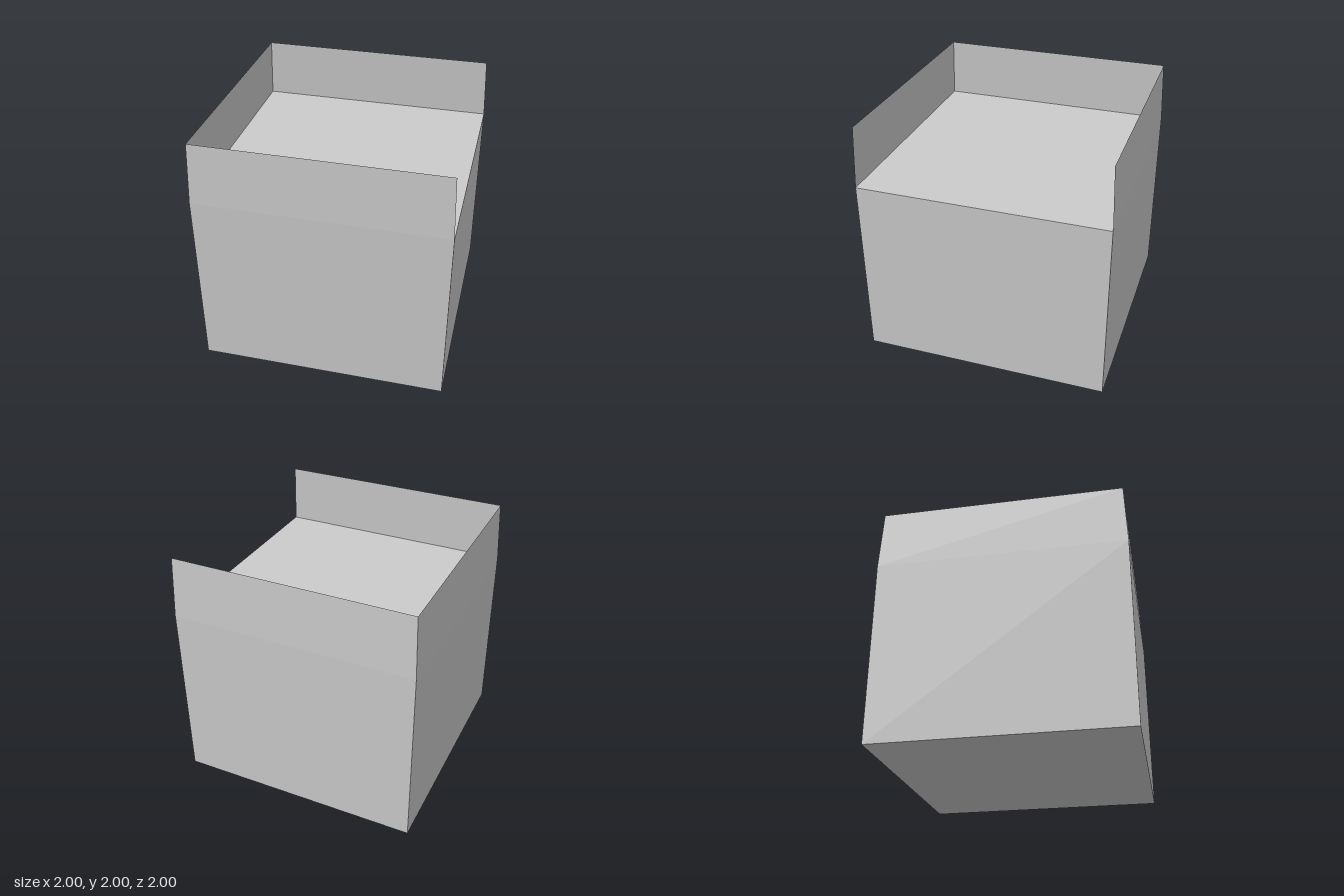
import * as THREE from 'three';

const HALF = 1, BODY_HEIGHT = 1.5, FLAP_HEIGHT = 0.5, LEAN = 0.02;

export function createModel() {
  const model = new THREE.Group();
  model.name = 'openCarton';

  // Solid body
  const body = new THREE.Mesh(
    new THREE.BoxGeometry(2 * HALF, BODY_HEIGHT, 2 * HALF),
    new THREE.MeshStandardMaterial({ color: 0xcccccc, flatShading: true })
  );
  body.name = 'body';
  body.position.y = BODY_HEIGHT / 2;
  model.add(body);

  // Thin flap: a panel whose top edge narrows and leans inward
  const flapGeometry = new THREE.PlaneGeometry(2 * HALF, FLAP_HEIGHT);
  flapGeometry.translate(0, BODY_HEIGHT + FLAP_HEIGHT / 2, HALF);
  const p = flapGeometry.attributes.position;
  for (let i = 0; i < p.count; i++) {
    if (p.getY(i) > BODY_HEIGHT + FLAP_HEIGHT / 2) {
      p.setX(i, p.getX(i) * (1 - LEAN));
      p.setZ(i, HALF - LEAN);
    }
  }
  flapGeometry.computeVertexNormals();
  const flapMaterial = new THREE.MeshStandardMaterial({
    color: 0xcccccc, flatShading: true, side: THREE.DoubleSide
  });

  // Flaps on three sides; the left (+x) side stays open
  const flaps = { frontFlap: 0, backFlap: Math.PI, rightFlap: -Math.PI / 2 };
  for (const [name, angle] of Object.entries(flaps)) {
    const flap = new THREE.Mesh(flapGeometry, flapMaterial);
    flap.name = name;
    flap.rotation.y = angle;
    model.add(flap);
  }
  return model;
}
